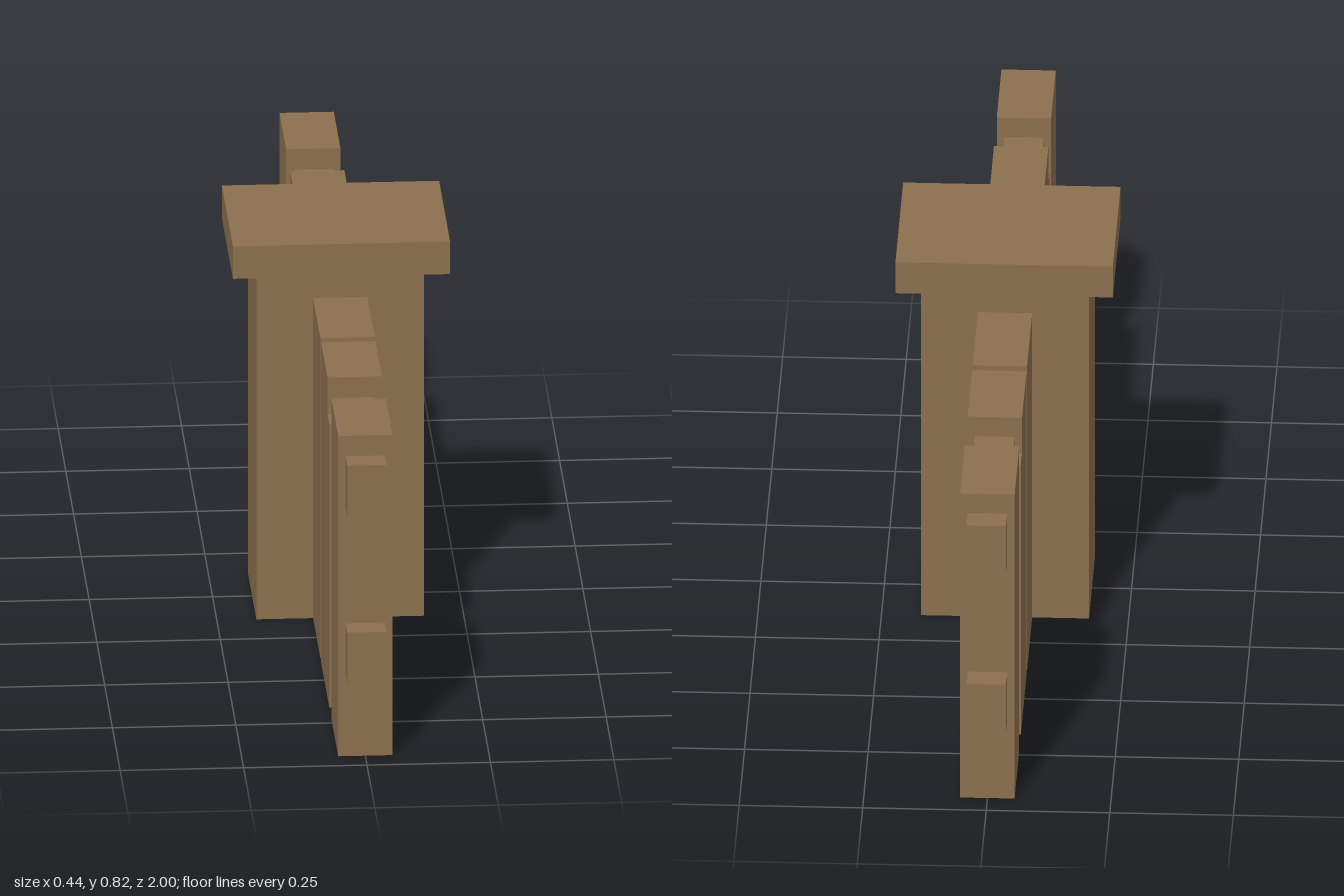
import * as THREE from 'three';

export function createModel() {
  const fence = new THREE.Group();
  fence.name = 'fence';
  const wood = new THREE.MeshStandardMaterial({ color: 0x8b6f4e });
  wood.name = 'brown wood';

  // Box centred on x, spanning the given y and z ranges
  function box(name, halfWidth, y0, y1, z0, z1) {
    const mesh = new THREE.Mesh(new THREE.BoxGeometry(halfWidth * 2, y1 - y0, z1 - z0), wood);
    mesh.position.set(0, (y0 + y1) / 2, (z0 + z1) / 2);
    mesh.name = name;
    fence.add(mesh);
  }

  // Plank cut from an outline in z and y
  function plank(name, outline) {
    const shape = new THREE.Shape(outline.map(([z, y]) => new THREE.Vector2(z, y)));
    const geometry = new THREE.ExtrudeGeometry(shape, { depth: 0.11, bevelEnabled: false });
    geometry.translate(0, 0, -0.055).rotateY(-Math.PI / 2);
    const mesh = new THREE.Mesh(geometry, wood);
    mesh.name = name;
    fence.add(mesh);
  }

  // Central post and its cap
  box('post', 0.17, 0, 0.75, -0.137, 0.137);
  box('postCap', 0.22, 0.75, 0.82, -0.178, 0.178);

  for (const [side, s] of [['front', 1], ['back', -1]]) {
    const span = (a, b) => (s > 0 ? [a, b] : [-b, -a]);

    // Plain planks: one against the post, one at the end
    box(side + 'InnerPlank', 0.055, 0, 0.69, ...span(0.1, 0.373));
    box(side + 'OuterPlank', 0.055, 0, 0.69, ...span(0.732, 0.945));

    // Middle plank with a broken upper corner
    plank(side + 'NotchedPlank', [
      [0.397, 0], [0.66, 0], [0.66, 0.61], [0.603, 0.61], [0.603, 0.69], [0.397, 0.69],
    ].map(([z, y]) => [z * s, y]));

    // Rails running through the planks
    box(side + 'LowerRail', 0.04, 0.176, 0.286, ...span(0.1, 1));
    box(side + 'UpperRail', 0.04, 0.536, 0.646, ...span(0.1, 1));
  }
  return fence;
}
